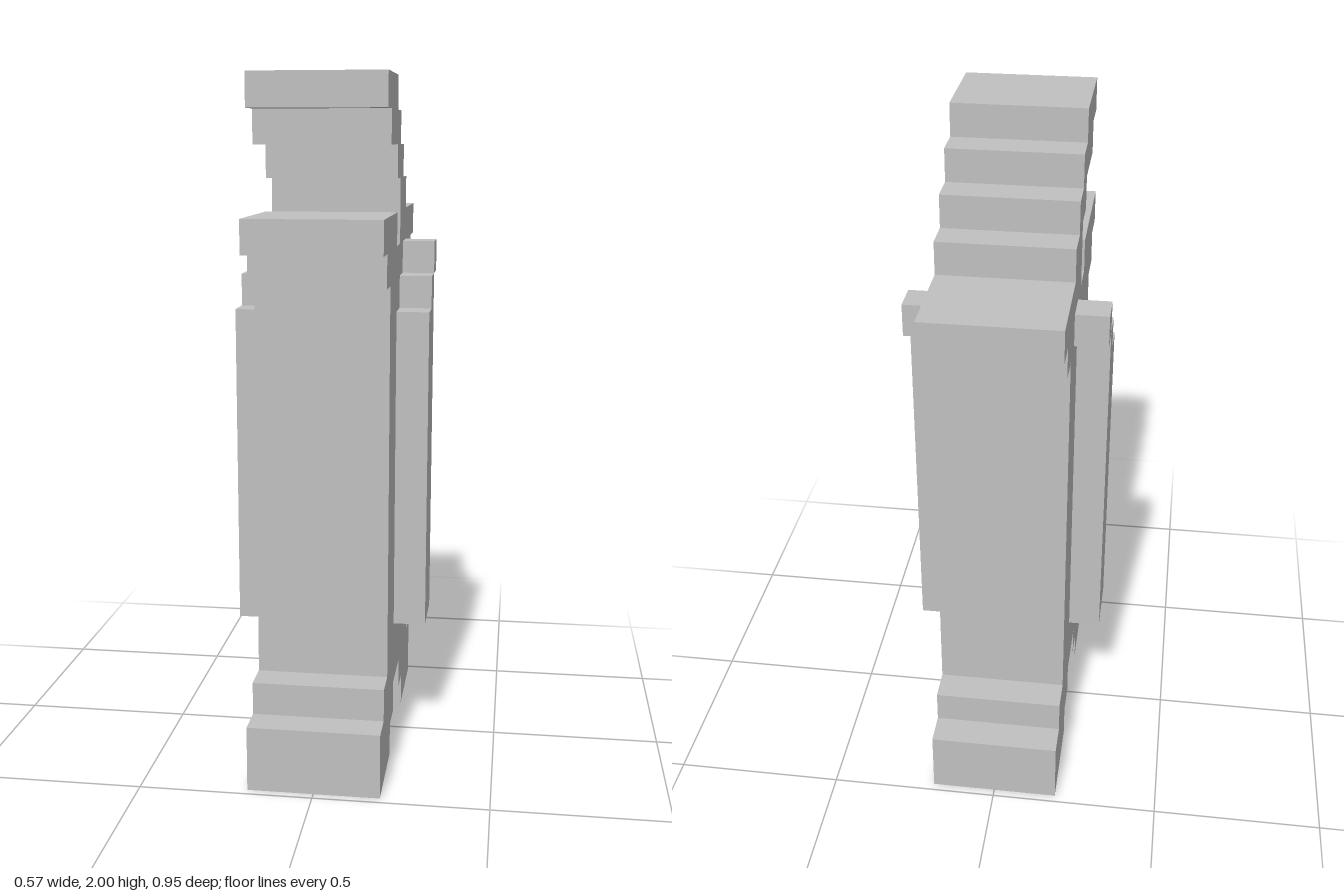
import * as THREE from 'three';

const U = 2 / 21; // one block

// Extrude a side profile of [z, y] block coordinates across x, centred on xMid
function slab(name, points, width, xMid, material) {
  const shape = new THREE.Shape(points.map(([z, y]) => new THREE.Vector2(z * U, y * U)));
  const geometry = new THREE.ExtrudeGeometry(shape, { depth: width * U, bevelEnabled: false });
  geometry.translate(0, 0, -width * U / 2);
  geometry.rotateY(-Math.PI / 2);
  geometry.translate(xMid * U, 0, 0);
  const mesh = new THREE.Mesh(geometry, material);
  mesh.name = name;
  return mesh;
}

export function createModel() {
  const group = new THREE.Group();
  group.name = 'steppedPillar';
  const stone = new THREE.MeshStandardMaterial({ color: 0xc0c0c0 });
  stone.name = 'light grey';

  // Pillar with stepped feet, notched capital and a stair rising forward on top
  group.add(slab('pillar', [
    [2, 0], [5, 0], [5, 2], [4, 2], [4, 3], [3, 3], [3, 15], [4, 15], [4, 16], [5, 16], [5, 17],
    [1, 17], [1, 16], [0, 16], [0, 18], [1, 18], [1, 19], [3, 19], [3, 20], [4, 20], [4, 21],
    [1, 21], [1, 20], [0, 20], [0, 19], [-1, 19], [-1, 18], [-2, 18], [-2, 17], [-5, 17],
    [-5, 16], [-4, 16], [-4, 15], [-3, 15], [-3, 3], [-4, 3], [-4, 2], [-5, 2], [-5, 0],
    [-2, 0], [-2, 1], [-1, 1], [-1, 2], [1, 2], [1, 1], [2, 1],
  ], 4, 0, stone));

  // Raised side strips with stepped tops, mirrored left and right
  for (const [side, s] of [['left', 1], ['right', -1]]) {
    group.add(slab(side + 'Strip',
      [[-1, 4], [1, 4], [1, 14], [0, 14], [0, 15], [-1, 15]], 1, s * 2.5, stone));
    group.add(slab(side + 'StripTip',
      [[-2, 15], [-1, 15], [-1, 16], [-2, 16]], 1, s * 2.5, stone));
  }
  return group;
}
